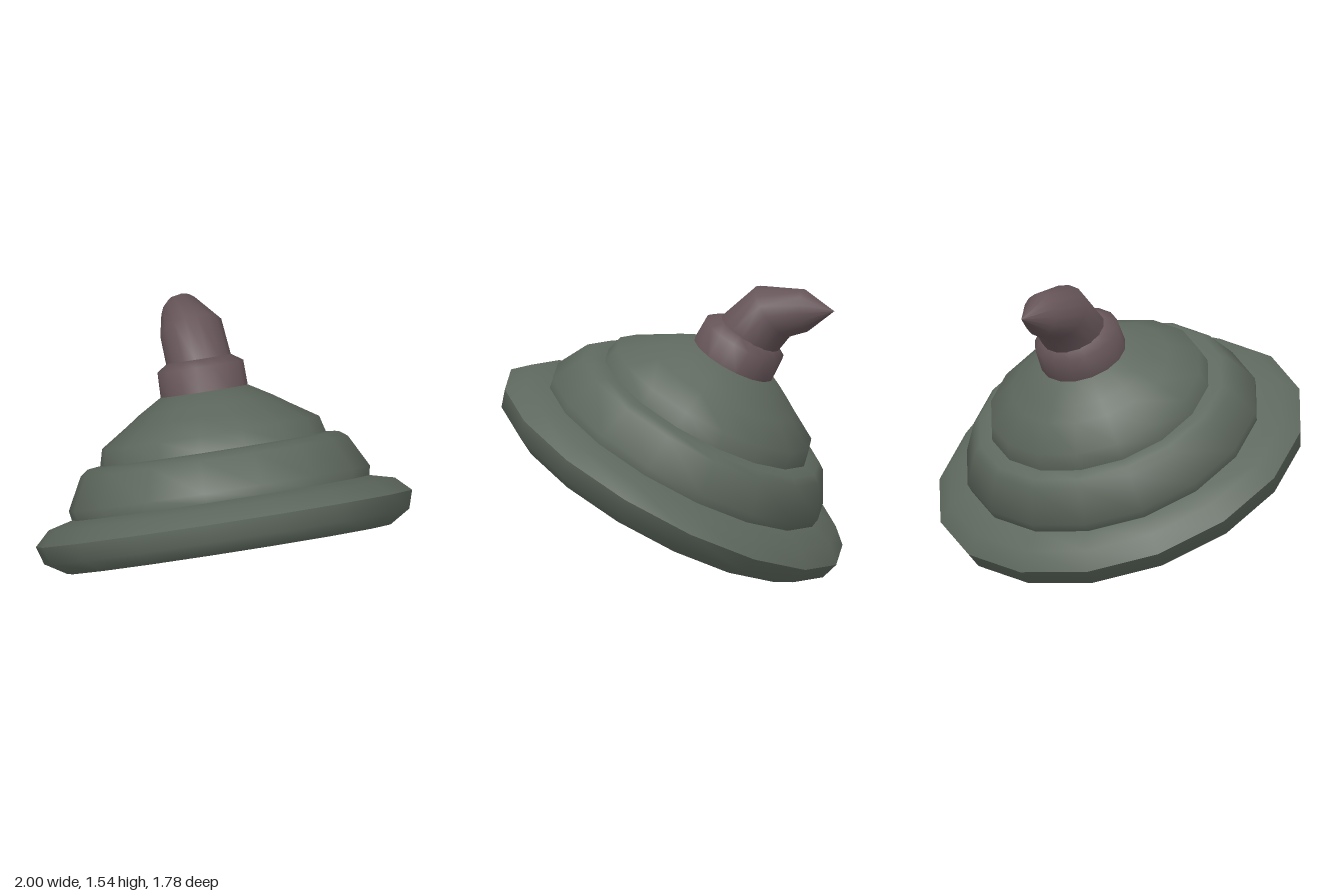
import * as THREE from 'three';
import { toCreasedNormals } from 'three/addons/utils/BufferGeometryUtils.js';

const TILT = 0.499;

export function createModel() {
  const model = new THREE.Group();
  model.name = 'tiltedHat';

  const green = new THREE.MeshStandardMaterial({ color: 0x5e685e, side: THREE.DoubleSide });
  green.name = 'grey green';
  const brown = new THREE.MeshStandardMaterial({ color: 0x655458, side: THREE.DoubleSide });
  brown.name = 'dusky brown';

  // Turned parts share one leaning axis
  const body = new THREE.Group();
  body.name = 'hatBody';
  body.rotation.x = -TILT;
  body.position.set(0, 0.128, 0.235);
  model.add(body);

  function turned(name, profile, material) {
    const points = profile.map(([r, h]) => new THREE.Vector2(r, h));
    const geometry = toCreasedNormals(new THREE.LatheGeometry(points, 16), 1.0);
    const mesh = new THREE.Mesh(geometry, material);
    mesh.name = name;
    body.add(mesh);
  }

  // Thick rolled brim with an open underside
  turned('brim', [
    [0.67, 0.54], [0.67, 0.4], [0.86, 0.333], [0.97, 0.4],
    [1, 0.495], [0.92, 0.572], [0.79, 0.605],
  ], green);

  // Lower tier, ending in the groove under the dome
  turned('lowerTier', [
    [0.79, 0.6], [0.8, 0.655], [0.71, 0.825], [0.67, 0.855], [0.6, 0.863],
  ], green);

  // Upper dome
  turned('dome', [
    [0.6, 0.863], [0.577, 0.95], [0.43, 1.045], [0.354, 1.097], [0.23, 1.17], [0, 1.2],
  ], green);

  // Collar around the foot of the horn
  turned('hornCollar', [
    [0.232, 1.15], [0.228, 1.3], [0.17, 1.34], [0, 1.345],
  ], brown);

  // Horn sections: upper [z, y], lower [z, y], half width
  const sections = [
    [[-0.24, 1.33], [-0.53, 1.16], 0.17],
    [[-0.27, 1.385], [-0.565, 1.205], 0.172],
    [[-0.45, 1.545], [-0.63, 1.285], 0.168],
    [[-0.7, 1.54], [-0.725, 1.315], 0.105],
    [[-0.87, 1.43], [-0.87, 1.43], 0],
  ];
  const sides = 16;
  const positions = [];
  const indices = [];
  sections.forEach(([[z1, y1], [z2, y2], width], i) => {
    for (let j = 0; j < sides; j++) {
      const t = (j / sides) * Math.PI * 2;
      const c = Math.cos(t) / 2;
      positions.push(
        width * Math.sin(t),
        (y1 + y2) / 2 + (y1 - y2) * c,
        (z1 + z2) / 2 + (z1 - z2) * c,
      );
      if (i < sections.length - 1) {
        const a = i * sides + j;
        const b = i * sides + ((j + 1) % sides);
        indices.push(a, b, a + sides);
        if (i < sections.length - 2) indices.push(b, b + sides, a + sides);
      }
    }
  });
  const hornGeometry = new THREE.BufferGeometry();
  hornGeometry.setAttribute('position', new THREE.Float32BufferAttribute(positions, 3));
  hornGeometry.setIndex(indices);
  hornGeometry.computeVertexNormals();
  const horn = new THREE.Mesh(hornGeometry, brown);
  horn.name = 'bentHorn';
  model.add(horn);

  return model;
}
